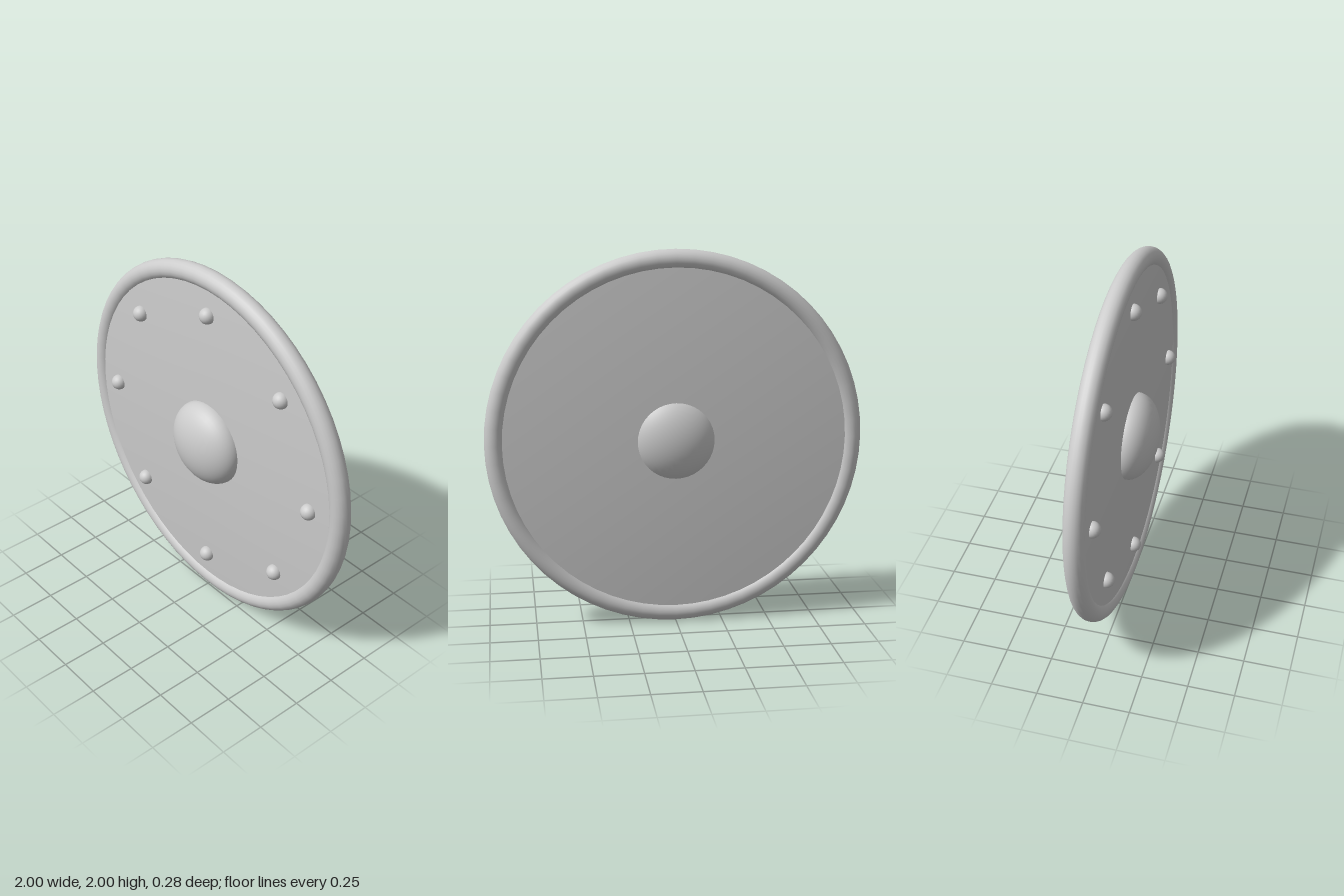
import * as THREE from 'three';

export function createModel() {
  const model = new THREE.Group();
  model.name = 'roundShield';
  const steel = new THREE.MeshStandardMaterial({ color: 0xcccccc });
  steel.name = 'grey steel';

  const add = (name, geometry, x, y, z) => {
    const mesh = new THREE.Mesh(geometry, steel);
    mesh.name = name;
    mesh.position.set(x, y, z);
    model.add(mesh);
    return mesh;
  };

  // Flat board, lathed in one smooth piece so its faces shade softly into the edge
  const half = 0.035, radius = 0.947;
  const profile = [[0, -half], [radius, -half], [radius, half], [0, half]]
    .map(([r, h]) => new THREE.Vector2(r, h));
  const board = new THREE.LatheGeometry(profile, 64);
  board.rotateX(Math.PI / 2);
  add('board', board, 0, 1, -half);

  // Rounded rim
  add('rim', new THREE.TorusGeometry(0.947, 0.053, 20, 64), 0, 1, -half);

  // Central boss, a flattened ball showing on both sides
  const boss = new THREE.SphereGeometry(0.235, 40, 24);
  boss.rotateX(Math.PI / 2);
  add('boss', boss, 0, 1, 0).scale.z = 0.14 / 0.235;

  // Ring of eight rivets
  const rivet = new THREE.SphereGeometry(0.043, 20, 14);
  for (let i = 0; i < 8; i++) {
    const a = (i * Math.PI) / 4;
    add('rivet' + (i + 1), rivet, 0.77 * Math.cos(a), 1 + 0.77 * Math.sin(a), 0.005);
  }
  return model;
}
